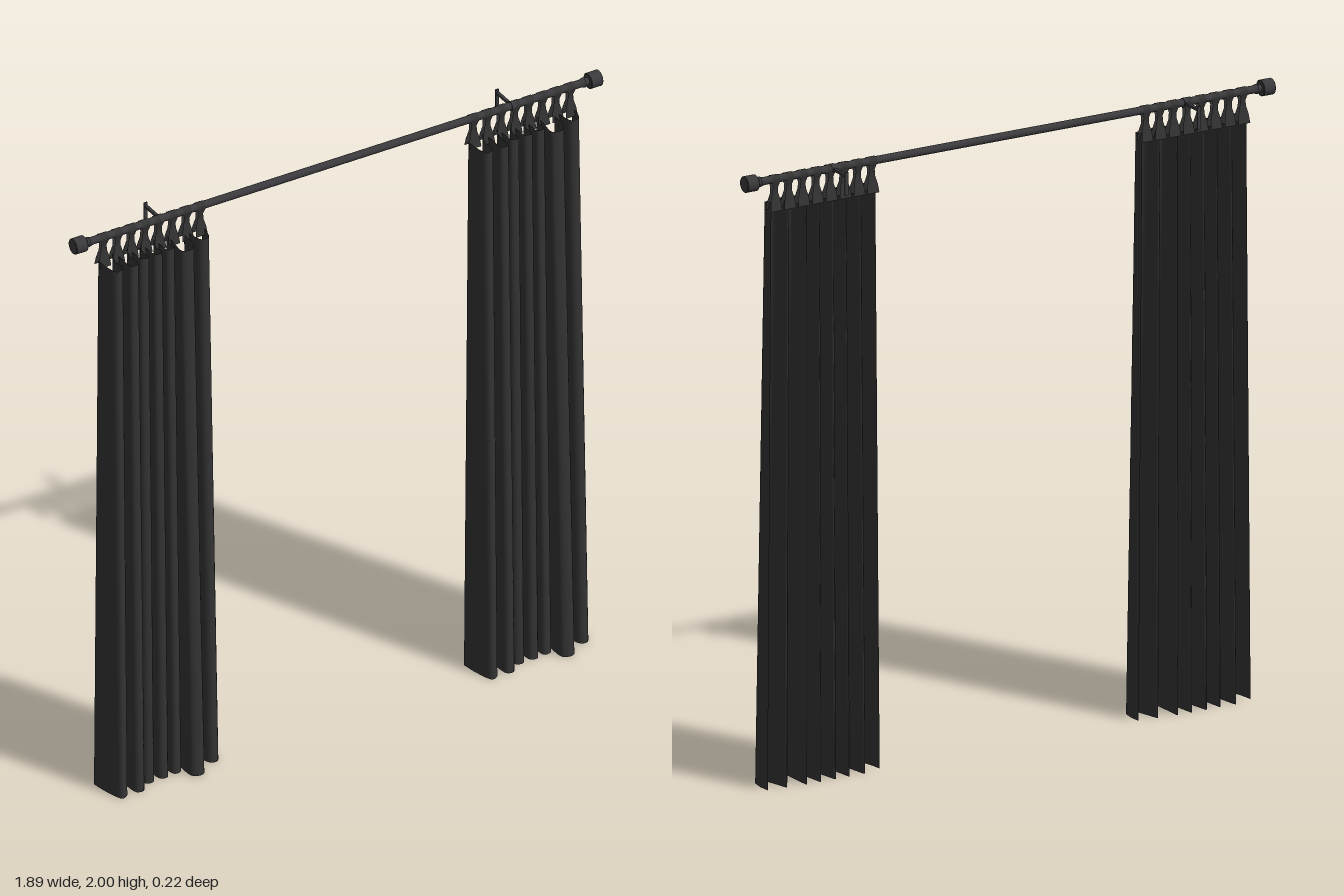
import * as THREE from 'three';

const ROD_Y = 1.974, ROD_Z = -0.02;
const fabric = new THREE.MeshStandardMaterial({ color: 0x333333, roughness: 0.9, side: THREE.DoubleSide });
const metal = new THREE.MeshStandardMaterial({ color: 0x3a3a3d, roughness: 0.6 });

function addMesh(parent, name, geometry, material, x = 0, y = 0, z = 0) {
  const mesh = new THREE.Mesh(geometry, material);
  mesh.name = name;
  mesh.position.set(x, y, z);
  parent.add(mesh);
  return mesh;
}

// Plan of the pleats: x across the panel, depth from 0 (back) to 1 (front)
const PLEATS = [
  [-0.205, 0.15], [-0.195, 0.55], [-0.172, 0.95], [-0.147, 0.85], [-0.155, 0.4],
  [-0.14, 0], [-0.127, 0.4], [-0.115, 0.9], [-0.09, 0.9], [-0.095, 0.4],
  [-0.085, 0], [-0.075, 0.4], [-0.065, 0.7], [-0.04, 0.72], [-0.047, 0.35],
  [-0.035, 0], [-0.022, 0.4], [-0.012, 0.7], [0.013, 0.7], [0.006, 0.35],
  [0.018, 0], [0.028, 0.4], [0.038, 0.68], [0.063, 0.65], [0.055, 0.3],
  [0.068, 0], [0.073, 0.5], [0.08, 0.95], [0.113, 1], [0.133, 0.7], [0.125, 0.3],
  [0.135, 0.05], [0.148, 0.35], [0.168, 0.7], [0.192, 0.7], [0.203, 0.4], [0.2, 0.1],
];

// Pleated cloth, tapering in width and depth toward the top
function pleatedCloth() {
  const curve = new THREE.CatmullRomCurve3(PLEATS.map(([x, d]) => new THREE.Vector3(x, 0, d * 0.15)));
  const columns = 220;
  const path = curve.getSpacedPoints(columns);
  const geometry = new THREE.PlaneGeometry(1, 1, columns, 8);
  const pos = geometry.attributes.position;
  for (let i = 0; i < pos.count; i++) {
    const p = path[Math.round((pos.getX(i) + 0.5) * columns)];
    const v = pos.getY(i) + 0.5;
    const d = p.z / 0.15;
    const back = THREE.MathUtils.lerp(-0.036, -0.026, v);
    const depth = THREE.MathUtils.lerp(0.146, 0.082, v);
    pos.setXYZ(i, p.x * (1 - 0.075 * v), v * (1.9 - 0.018 * d), back + depth * d);
  }
  geometry.computeVertexNormals();
  return geometry;
}

// Hanging tab: a band up the back, over the rod and down the front, pinched below the rod
function hangingTab() {
  const r = 0.0145, rows = [];
  const leg = (side) => [[side * 0.016, -0.1, 0.021], [side * 0.011, -0.072, 0.018],
    [side * 0.006, -0.045, 0.011], [side * 0.008, -0.025, 0.009]];
  rows.push(...leg(-1));
  for (let i = 0; i <= 10; i++) {
    const a = Math.PI * (1.15 - 1.3 * i / 10);
    rows.push([r * Math.cos(a), r * Math.sin(a), 0.014]);
  }
  rows.push(...leg(1).reverse());
  const geometry = new THREE.PlaneGeometry(1, 1, 4, rows.length - 1);
  const pos = geometry.attributes.position;
  for (let i = 0; i < pos.count; i++) {
    const [z, y, half] = rows[Math.floor(i / 5)];
    pos.setXYZ(i, pos.getX(i) * 2 * half, y, z);
  }
  geometry.computeVertexNormals();
  return geometry;
}

export function createModel() {
  const model = new THREE.Group();
  model.name = 'curtains';

  // Rod
  const rod = addMesh(model, 'rod', new THREE.CylinderGeometry(0.0125, 0.0125, 1.82, 20), metal, 0, ROD_Y, ROD_Z);
  rod.rotation.z = Math.PI / 2;

  // Finials with collars and wall brackets, mirrored
  const finialProfile = [[0, -0.07], [0.012, -0.07], [0.016, -0.056], [0.012, -0.045], [0.012, -0.042],
    [0.024, -0.042], [0.026, -0.04], [0.026, -0.002], [0.024, 0], [0, 0]];
  // Doubled points keep the rims crisp
  const points = finialProfile.flatMap(([x, y]) => [new THREE.Vector2(x, y), new THREE.Vector2(x, y + 1e-5)]);
  const finialGeometry = new THREE.LatheGeometry(points, 24);
  for (const side of [-1, 1]) {
    const finial = addMesh(model, side > 0 ? 'leftFinial' : 'rightFinial', finialGeometry, metal, side * 0.945, ROD_Y, ROD_Z);
    finial.rotation.z = -side * Math.PI / 2;

    const bracket = new THREE.Group();
    bracket.name = side > 0 ? 'leftBracket' : 'rightBracket';
    bracket.position.set(side * 0.631, ROD_Y, ROD_Z);
    addMesh(bracket, 'bracketArm', new THREE.BoxGeometry(0.01, 0.008, 0.09), metal, 0, 0, -0.045);
    addMesh(bracket, 'wallPlate', new THREE.BoxGeometry(0.012, 0.075, 0.005), metal, 0, -0.026, -0.088);
    addMesh(bracket, 'rodCollar', new THREE.CylinderGeometry(0.015, 0.015, 0.012, 20), metal).rotation.z = Math.PI / 2;
    model.add(bracket);
  }

  // Two matching panels, each hung by eight tabs
  const cloth = pleatedCloth();
  const tab = hangingTab();
  for (const [name, x] of [['rightPanel', -0.667], ['leftPanel', 0.661]]) {
    const panel = new THREE.Group();
    panel.name = name;
    panel.position.x = x;
    addMesh(panel, 'cloth', cloth, fabric);
    for (let i = 0; i < 8; i++) {
      addMesh(panel, 'hangingTab', tab, fabric, -0.17 + i * 0.0495, ROD_Y, ROD_Z);
    }
    model.add(panel);
  }
  return model;
}
